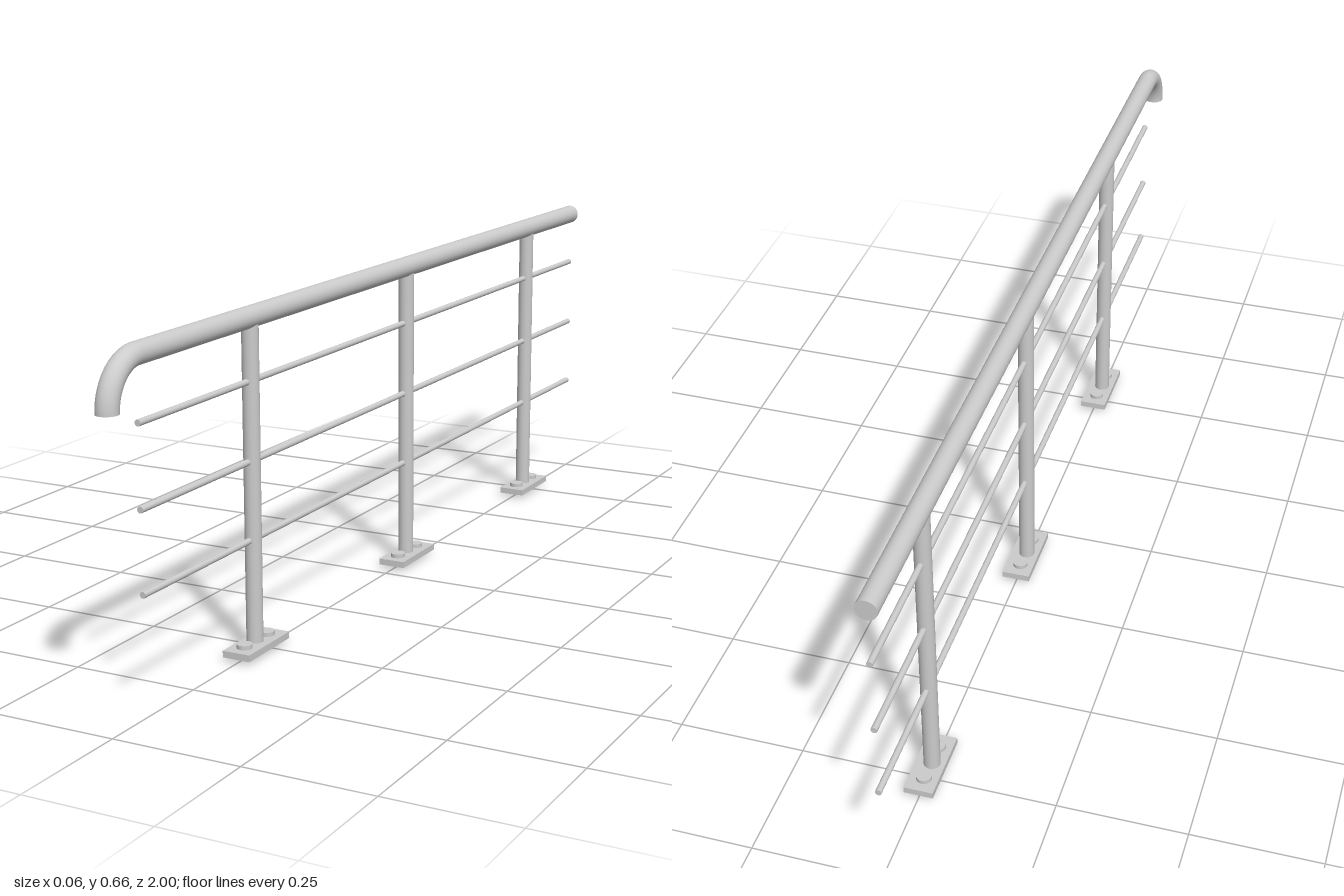
import * as THREE from 'three';

const material = new THREE.MeshStandardMaterial({ color: 0xcccccc });
const X = -0.003; // shared centre line of rail, posts and rods

function add(parent, name, geometry, x, y, z) {
  const mesh = new THREE.Mesh(geometry, material);
  mesh.name = name;
  mesh.position.set(x, y, z);
  parent.add(mesh);
  return mesh;
}

// Round bar along z
function barZ(parent, name, radius, y, zBack, zFront) {
  const geometry = new THREE.CylinderGeometry(radius, radius, zFront - zBack, 32).rotateX(Math.PI / 2);
  return add(parent, name, geometry, X, y, (zBack + zFront) / 2);
}

function createPost(z) {
  const post = new THREE.Group();
  post.name = 'post';
  post.position.z = z;
  // Upright passes through the plate and ends inside the handrail
  add(post, 'upright', new THREE.CylinderGeometry(0.016, 0.016, 0.63, 32), X, 0.315, 0);
  add(post, 'basePlate', new THREE.BoxGeometry(0.057, 0.013, 0.147), 0, 0.0145, 0);
  for (const side of [-1, 1]) {
    add(post, 'bolt', new THREE.CylinderGeometry(0.015, 0.015, 0.01, 24), -0.001, 0.024, side * 0.041);
  }
  return post;
}

export function createModel() {
  const model = new THREE.Group();
  model.name = 'railing';

  // Handrail with a quarter bend turning down at the front
  const railY = 0.638, railRadius = 0.0205, bend = 0.085, bendZ = 0.894;
  const handrail = new THREE.Group();
  handrail.name = 'handrail';
  model.add(handrail);
  barZ(handrail, 'straightRail', railRadius, railY, -1, bendZ);
  const elbow = new THREE.TorusGeometry(bend, railRadius, 32, 24, Math.PI / 2).rotateY(-Math.PI / 2);
  add(handrail, 'elbow', elbow, X, railY - bend, bendZ);
  const cap = new THREE.CircleGeometry(railRadius, 32).rotateX(Math.PI / 2);
  add(handrail, 'elbowCap', cap, X, railY - bend, bendZ + bend);

  // Three thin infill rods
  for (const y of [0.22, 0.37, 0.52]) barZ(model, 'infillRod', 0.006, y, -1, 0.894);

  // Posts on bolted base plates
  for (const z of [0.53, -0.1, -0.73]) model.add(createPost(z));

  return model;
}
